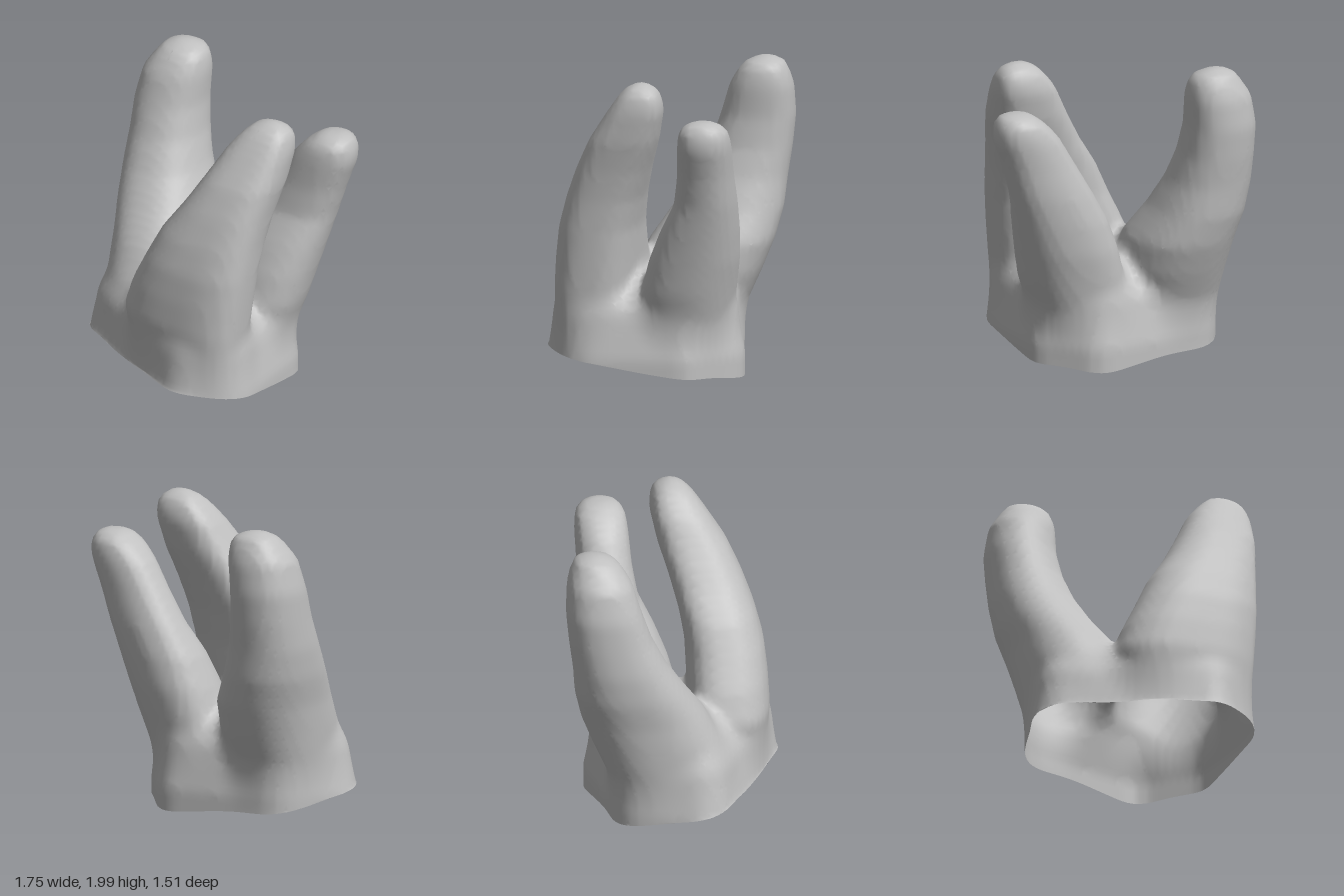
import * as THREE from 'three';

// Finger cross-sections, bottom to top: [y, xMin, xMax, zMin, zMax],
// each a superellipse of the given power whose z leans with x by skew [bottom, top]
const fingers = {
  front: { skew: [0.3, -0.08], power: 2.8, rows: [
    [0.1, -0.3, 0.46, 0.12, 0.66], [0.4, -0.36, 0.5, 0.13, 0.68], [0.6, -0.39, 0.52, 0.14, 0.69],
    [0.8, -0.32, 0.54, 0.14, 0.68], [1.0, -0.22, 0.56, 0.14, 0.66], [1.2, -0.12, 0.58, 0.11, 0.61],
    [1.4, 0.02, 0.61, 0.06, 0.54], [1.6, 0.14, 0.65, 0.0, 0.45], [1.8, 0.25, 0.67, -0.04, 0.32],
    [1.9, 0.33, 0.66, -0.03, 0.25], [1.96, 0.4, 0.62, 0.01, 0.19], [1.99, 0.46, 0.57, 0.06, 0.14]] },
  right: { skew: [0.05, -0.05], power: 2.3, rows: [
    [0.1, -0.74, -0.15, -0.4, 0.28], [0.4, -0.78, -0.13, -0.47, 0.32], [0.6, -0.8, -0.12, -0.56, 0.28],
    [0.8, -0.82, -0.16, -0.64, 0.17], [1.0, -0.86, -0.27, -0.69, 0.03], [1.2, -0.88, -0.35, -0.71, -0.1],
    [1.4, -0.88, -0.4, -0.74, -0.2], [1.6, -0.88, -0.42, -0.76, -0.27], [1.8, -0.84, -0.41, -0.75, -0.33],
    [1.9, -0.77, -0.42, -0.72, -0.39], [1.96, -0.72, -0.46, -0.69, -0.45], [1.99, -0.66, -0.53, -0.63, -0.52]] },
  left: { skew: [0.25, 0.0], power: 2.3, rows: [
    [0.1, -0.1, 0.43, -0.41, 0.1], [0.4, -0.08, 0.52, -0.45, 0.12], [0.6, -0.06, 0.59, -0.48, 0.11],
    [0.8, 0.0, 0.64, -0.51, 0.06], [1.0, 0.08, 0.69, -0.52, -0.02], [1.2, 0.2, 0.74, -0.52, -0.12],
    [1.4, 0.32, 0.8, -0.51, -0.15], [1.6, 0.44, 0.87, -0.51, -0.16], [1.7, 0.53, 0.87, -0.5, -0.17],
    [1.75, 0.6, 0.84, -0.46, -0.21], [1.78, 0.66, 0.79, -0.39, -0.28]] },
};

// Approximate signed distance to one finger
function fingerDistance({ skew, power, rows }, x, y, z) {
  const low = rows[0][0], top = rows[rows.length - 1][0];
  const h = Math.min(Math.max(y, low), top);
  let i = 0;
  while (i < rows.length - 2 && rows[i + 1][0] < h) i++;
  const a = rows[i], b = rows[i + 1], t = (h - a[0]) / (b[0] - a[0]);
  const [, x0, x1, z0, z1] = a.map((v, k) => v + (b[k] - v) * t);
  const lean = skew[0] + (skew[1] - skew[0]) * (h - low) / (top - low);
  const hx = (x1 - x0) / 2, hz = (z1 - z0) / 2;
  const u = (x - (x0 + x1) / 2) / hx, v = (z - (z0 + z1) / 2) / hz;
  const w = (v - lean * u) / Math.sqrt(1 - lean * lean);
  const q = (Math.abs(u) ** power + Math.abs(w) ** power) ** (1 / power);
  return Math.max((q - 1) * Math.min(hx, hz), y - top);
}

// Palm: a rounded polygon in x and z, flared at the rim and domed at the top
const palmCorners = [[-0.62, 0.11], [-0.2, 0.35], [0.18, 0.53], [0.33, 0.42], [0.31, -0.11], [0.13, -0.3], [-0.5, -0.2]];
function palmDistance(x, y, z) {
  let nearest = 10, outside = false;
  palmCorners.forEach(([ax, az], i) => {
    const [bx, bz] = palmCorners[(i + 1) % palmCorners.length];
    const ex = bx - ax, ez = bz - az, px = x - ax, pz = z - az;
    const t = Math.min(Math.max((px * ex + pz * ez) / (ex * ex + ez * ez), 0), 1);
    nearest = Math.min(nearest, Math.hypot(px - t * ex, pz - t * ez));
    if (ex * pz - ez * px > 0) outside = true;
  });
  const flare = 0.05 * Math.min(Math.max((0.4 - y) / 0.25, 0), 1);
  const dome = 2.8 * Math.max(y - 0.38, 0) ** 2;
  return Math.max((outside ? nearest : -nearest) - 0.18 - flare + dome, y - 0.67);
}

// Palm and fingers melted together
function field(x, y, z) {
  const k = 0.08;
  return Object.values(fingers).reduce((d, finger) => {
    const e = fingerDistance(finger, x, y, z);
    const m = Math.max(k - Math.abs(d - e), 0);
    return Math.min(d, e) - m * m / (4 * k);
  }, palmDistance(x, y, z));
}

// Sloping, slightly ragged open rim
const rimHeight = (x, z) => 0.095 - 0.06 * x + 0.15 * z + 0.006 * Math.sin(9 * x + 5 * z);

// Skin of the field on a regular grid
function skinGeometry() {
  const step = 0.04, n = 60, origin = [-1.2, -0.21, -1.2];
  const id = (i, j, k) => (i * n + j) * n + k;
  const stride = [n * n, n, 1];
  const values = new Float32Array(n ** 3);
  const at = (axis, i) => origin[axis] + i * step;
  for (let i = 0; i < n; i++) for (let j = 0; j < n; j++) for (let k = 0; k < n; k++)
    values[id(i, j, k)] = field(at(0, i), at(1, j), at(2, k));

  // One point per crossed cell, at the mean of its edge crossings
  const cellPoint = new Map(), points = [];
  for (let i = 0; i < n - 1; i++) for (let j = 0; j < n - 1; j++) for (let k = 0; k < n - 1; k++) {
    const sum = [0, 0, 0];
    let count = 0;
    for (let corner = 0; corner < 8; corner++) {
      const c = [corner & 1, (corner >> 1) & 1, corner >> 2];
      for (let axis = 0; axis < 3; axis++) {
        if (c[axis]) continue;
        const p = id(i + c[0], j + c[1], k + c[2]);
        const f = values[p], g = values[p + stride[axis]];
        if ((f < 0) === (g < 0)) continue;
        c.forEach((v, m) => { sum[m] += v + (m === axis ? f / (f - g) : 0); });
        count++;
      }
    }
    if (!count) continue;
    cellPoint.set(id(i, j, k), points.length);
    points.push([i, j, k].map((v, m) => at(m, v + sum[m] / count)));
  }

  // A quad around every crossed grid edge, left out below the rim
  const index = [];
  const below = points.map(([x, y, z]) => y < rimHeight(x, z));
  for (let i = 1; i < n - 1; i++) for (let j = 1; j < n - 1; j++) for (let k = 1; k < n - 1; k++) {
    const p = id(i, j, k);
    for (let axis = 0; axis < 3; axis++) {
      const inside = values[p] < 0;
      if (inside === (values[p + stride[axis]] < 0)) continue;
      const b = stride[(axis + 1) % 3], c = stride[(axis + 2) % 3];
      const quad = [p - b - c, p - c, p, p - b].map((cell) => cellPoint.get(cell));
      if (quad.every((q) => below[q])) continue;
      if (!inside) quad.reverse();
      const [q0, q1, q2, q3] = quad;
      index.push(q0, q1, q2, q0, q2, q3);
    }
  }
  points.forEach((p) => { p[1] = Math.max(p[1], rimHeight(p[0], p[2])); });

  const geometry = new THREE.BufferGeometry();
  geometry.setAttribute('position', new THREE.Float32BufferAttribute(points.flat(), 3));
  geometry.setIndex(index);
  geometry.computeVertexNormals();
  return geometry;
}

export function createModel() {
  const grey = new THREE.MeshStandardMaterial({ color: 0xc0c0c0, side: THREE.DoubleSide });
  grey.name = 'light grey';
  const skin = new THREE.Mesh(skinGeometry(), grey);
  skin.name = 'threeFingeredGlove';
  const group = new THREE.Group();
  group.name = 'glove';
  group.add(skin);
  return group;
}
